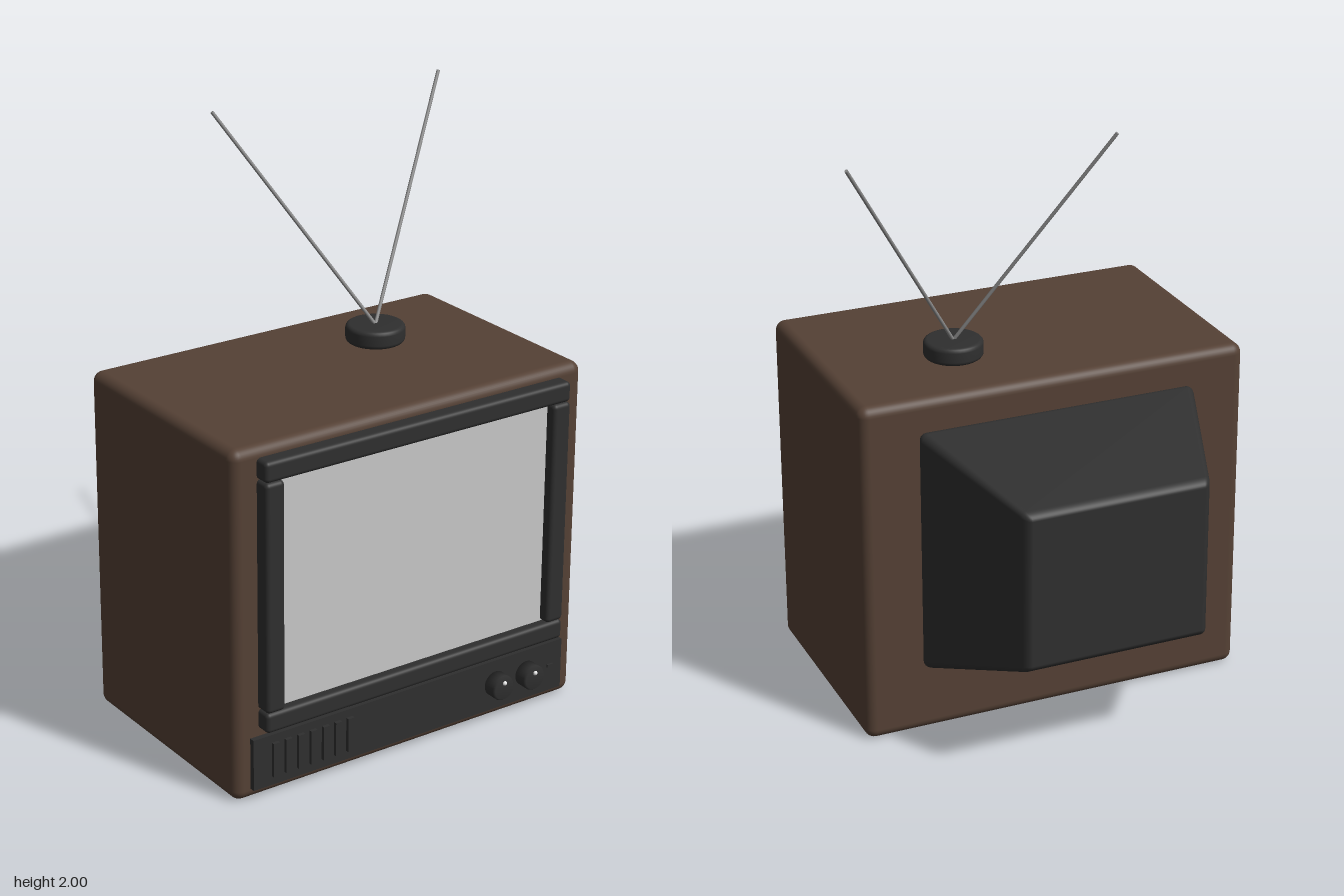
import * as THREE from 'three';
import { mergeVertices } from 'three/addons/utils/BufferGeometryUtils.js';
import { RoundedBoxGeometry } from 'three/addons/geometries/RoundedBoxGeometry.js';

const paint = (name, color) => {
  const m = new THREE.MeshStandardMaterial({ color });
  m.name = name;
  return m;
};

export function createModel() {
  const tv = new THREE.Group();
  tv.name = 'television';
  const brown = paint('brown casing', 0x554135);
  const black = paint('black plastic', 0x2f2f2f);
  const grey = paint('screen grey', 0xc8c8c8);
  const metal = paint('antenna metal', 0x8a8a8a);
  const white = paint('marker white', 0xe6e6e6);

  const add = (name, geometry, material, x = 0, y = 0, z = 0) => {
    const mesh = new THREE.Mesh(geometry, material);
    mesh.name = name;
    mesh.position.set(x, y, z);
    tv.add(mesh);
    return mesh;
  };
  // Rounded block given by its minimum and maximum corners
  const block = (name, material, [x0, y0, z0], [x1, y1, z1], r) =>
    add(name, new RoundedBoxGeometry(x1 - x0, y1 - y0, z1 - z0, 4, r), material,
      (x0 + x1) / 2, (y0 + y1) / 2, (z0 + z1) / 2);

  // Casing
  block('casing', brown, [-0.693, 0, -0.22], [0.673, 1.205, 0.623], 0.035);

  // Tube housing: a rounded block tapered towards the back
  const depth = 0.485;
  let housing = new RoundedBoxGeometry(0.99, 0.87, depth, 4, 0.03);
  const p = housing.attributes.position;
  for (let i = 0; i < p.count; i++) {
    const t = 0.5 - p.getZ(i) / depth;
    p.setX(i, p.getX(i) * (1 - 0.36 * t));
    p.setY(i, p.getY(i) * (1 - 0.37 * t) + 0.035 * t);
  }
  housing.deleteAttribute('normal');
  housing.deleteAttribute('uv');
  housing = mergeVertices(housing);
  housing.computeVertexNormals();
  add('tubeHousing', housing, black, -0.01, 0.67, -0.22 - depth / 2);

  // Screen and its frame
  add('screen', new THREE.BoxGeometry(1.07, 0.81, 0.02), grey, -0.01, 0.708, 0.63);
  for (const y of [0.245, 1.1])
    block('frameBar', black, [-0.605, y, 0.61], [0.585, y + 0.07, 0.675], 0.015);
  for (const x of [-0.605, 0.515])
    block('framePost', black, [x, 0.315, 0.61], [x + 0.07, 1.1, 0.677], 0.015);

  // Control panel with speaker ribs
  add('controlPanel', new THREE.BoxGeometry(1.248, 0.18, 0.03), black, -0.012, 0.13, 0.627);
  for (let i = 0; i < 7; i++)
    add('speakerRib', new THREE.BoxGeometry(0.024, 0.12, 0.012), black, -0.555 + i * 0.048, 0.132, 0.648);
  add('indicator', new THREE.BoxGeometry(0.024, 0.01, 0.008), black, 0.562, 0.135, 0.645);

  // Knobs with small pointers
  const knobShape = [[0, 0], [0.044, 0], [0.044, 0.042], [0.038, 0.05], [0, 0.05]]
    .map(([r, y]) => new THREE.Vector2(r, y));
  for (const x of [0.33, 0.46]) {
    add('knob', new THREE.LatheGeometry(knobShape, 32), black, x, 0.135, 0.642).rotation.x = Math.PI / 2;
    add('knobPointer', new THREE.SphereGeometry(0.008, 12, 8), white, x, 0.156, 0.692);
  }

  // Antenna base with rounded rims
  const rim = [new THREE.Vector2(0, 0)];
  for (const [cy, a0] of [[0.015, -Math.PI / 2], [0.047, 0]])
    for (let i = 0; i <= 4; i++) {
      const a = a0 + i * Math.PI / 8;
      rim.push(new THREE.Vector2(0.085 + 0.015 * Math.cos(a), cy + 0.015 * Math.sin(a)));
    }
  rim.push(new THREE.Vector2(0, 0.062));
  add('antennaBase', new THREE.LatheGeometry(rim, 40), black, 0.23, 1.204, 0.08);

  // Antenna rods
  const foot = new THREE.Vector3(0.23, 1.26, 0.08);
  for (const side of [-1, 1]) {
    const tip = new THREE.Vector3(0.23 + side * 0.455, 1.997, -0.198);
    const rod = new THREE.CylinderGeometry(0.006, 0.006, foot.distanceTo(tip), 12);
    const mesh = add('antennaRod', rod, metal);
    mesh.position.lerpVectors(foot, tip, 0.5);
    mesh.quaternion.setFromUnitVectors(new THREE.Vector3(0, 1, 0), tip.clone().sub(foot).normalize());
  }
  return tv;
}
